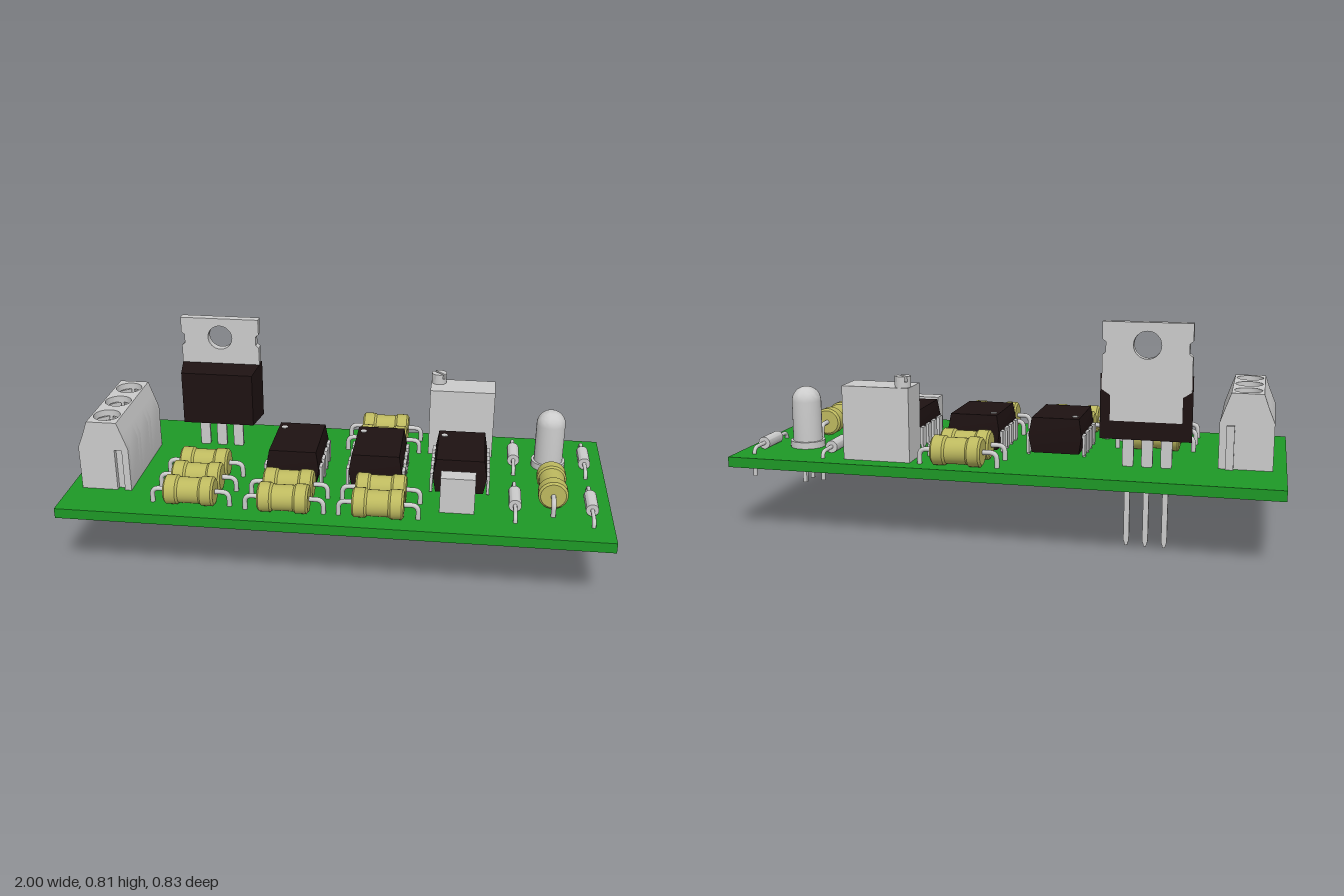
import * as THREE from 'three';
import { toCreasedNormals } from 'three/addons/utils/BufferGeometryUtils.js';

const TOP = 0.293; // upper face of the board
const mat = (color) => new THREE.MeshStandardMaterial({ color });
const GREY = mat(0xcccccc), GREEN = mat(0x1e9926), BLACK = mat(0x1e1212), TAN = mat(0xbdb95f);

function add(parent, name, geo, material, x = 0, y = 0, z = 0) {
  const m = new THREE.Mesh(geo, material);
  m.name = name;
  m.position.set(x, y, z);
  parent.add(m);
  return m;
}
function group(parent, name, x = 0, y = 0, z = 0) {
  const g = new THREE.Group();
  g.name = name;
  g.position.set(x, y, z);
  parent.add(g);
  return g;
}
// box given by its limits
function block(parent, name, material, x0, x1, y0, y1, z0, z1) {
  return add(parent, name, new THREE.BoxGeometry(x1 - x0, y1 - y0, z1 - z0), material,
    (x0 + x1) / 2, (y0 + y1) / 2, (z0 + z1) / 2);
}
const poly = (pts) => new THREE.Shape(pts.map((p) => new THREE.Vector2(...p)));
const extrude = (shape, depth) =>
  toCreasedNormals(new THREE.ExtrudeGeometry(shape, { depth, bevelEnabled: false, curveSegments: 16 }), 0.6);
// move vertices by a rule, then rebuild the normals
function reshape(geo, rule) {
  const p = geo.attributes.position, v = new THREE.Vector3();
  for (let i = 0; i < p.count; i++) {
    rule(v.fromBufferAttribute(p, i));
    p.setXYZ(i, v.x, v.y, v.z);
  }
  return toCreasedNormals(geo, 0.6);
}
const lathe = (pts, n = 28) =>
  toCreasedNormals(new THREE.LatheGeometry(pts.map((p) => new THREE.Vector2(...p)), n), 0.6);

// screw head split into n sectors by straight grooves
function screw(parent, r, h, n, gap, x, y, z) {
  const g = group(parent, 'screw', x, y, z);
  add(g, 'screwCore', new THREE.CylinderGeometry(r, r, h / 2, 28), GREY, 0, h / 4);
  for (let i = 0; i < n; i++) {
    const a = (i * 2 * Math.PI) / n, w = Math.PI / n - Math.asin(gap / r), o = gap / Math.sin(Math.PI / n);
    const s = new THREE.Shape();
    s.moveTo(o * Math.cos(a), o * Math.sin(a));
    s.absarc(0, 0, r, a - w, a + w, false);
    s.closePath();
    add(g, 'screwSector', extrude(s, h / 2).rotateX(-Math.PI / 2), GREY, 0, h / 2);
  }
  g.rotation.y = 0.75;
}

// component lying on the board with two bent leads
function axial(root, name, spec, x, z, turned) {
  const g = group(root, name, x, spec.y, z);
  add(g, name + 'Body', lathe(spec.profile).rotateZ(-Math.PI / 2), spec.material);
  const { half, span, wire, y, end } = spec, b = 0.026;
  for (const s of [-1, 1]) {
    const V = (px, py) => new THREE.Vector3(s * px, py, 0);
    const path = new THREE.CurvePath();
    path.add(new THREE.LineCurve3(V(half - 0.01, 0), V(span - b, 0)));
    path.add(new THREE.QuadraticBezierCurve3(V(span - b, 0), V(span, 0), V(span, -b)));
    path.add(new THREE.LineCurve3(V(span, -b), V(span, end - y)));
    add(g, 'lead', new THREE.TubeGeometry(path, 24, wire, 10), GREY);
    add(g, 'leadTip', new THREE.CylinderGeometry(wire, wire, 0.004, 10), GREY, s * span, end - y);
  }
  if (turned) g.rotation.y = Math.PI / 2;
}
const RESISTOR = {
  profile: [[0, -0.092], [0.046, -0.092], [0.054, -0.085], [0.054, -0.046], [0.048, -0.038],
    [0.048, 0.038], [0.054, 0.046], [0.054, 0.085], [0.046, 0.092], [0, 0.092]],
  half: 0.092, span: 0.143, wire: 0.009, y: 0.347, end: 0.24, material: TAN,
};
const DIODE = {
  profile: [[0, -0.057], [0.023, -0.057], [0.023, 0.057], [0, 0.057]],
  half: 0.057, span: 0.138, wire: 0.0075, y: 0.316, end: 0.212, material: GREY,
};

// eight-legged chip
function chip(root, x) {
  const g = group(root, 'chip', x);
  const body = reshape(new THREE.BoxGeometry(0.198, 0.132, 0.272, 1, 2, 1), (v) => {
    if (Math.abs(v.y) > 0.01) { v.x *= 0.89; v.z *= 0.95; }
  });
  add(g, 'chipBody', body, BLACK, 0, 0.371);
  add(g, 'chipMark', new THREE.CylinderGeometry(0.012, 0.012, 0.004, 16), GREY, -0.066, 0.437, -0.085);
  for (const s of [-1, 1]) for (let i = 0; i < 4; i++) {
    const leg = group(g, 'chipLeg', s * 0.105, 0, (i - 1.5) * 0.068);
    add(leg, 'legShoulder', new THREE.BoxGeometry(0.03, 0.01, 0.04), GREY, -s * 0.01, 0.37);
    add(leg, 'legBlade', new THREE.BoxGeometry(0.01, 0.075, 0.04), GREY, 0, 0.3375);
    add(leg, 'legPin', new THREE.BoxGeometry(0.01, 0.1, 0.014), GREY, 0, 0.25);
    add(leg, 'legTip', new THREE.ConeGeometry(0.008, 0.012, 4).rotateX(Math.PI), GREY, 0, 0.195);
  }
}

// three-way screw terminal, sliced along z into walls and wire openings
function terminal(root) {
  const g = group(root, 'screwTerminal');
  const slice = (name, z0, z1, open, grooved) => {
    const pts = [[-0.952, TOP], ...(open ? [[-0.952, 0.312], [-0.88, 0.312], [-0.88, 0.42], [-0.952, 0.42]] : []),
      [-0.952, 0.462], [-0.93, 0.515], [-0.782, 0.515], [-0.763, 0.46], [-0.763, TOP],
      ...(grooved ? [[-0.788, TOP], [-0.788, 0.455], [-0.816, 0.455], [-0.816, TOP]] : [])];
    add(g, name, extrude(poly(pts.reverse()), z1 - z0), GREY, 0, 0, z0);
  };
  const zs = [-0.1, 0.035, 0.17];
  slice('terminalWall', -0.17, -0.15, false, false);
  slice('terminalWall', -0.05, -0.015, false, false);
  slice('terminalWall', 0.085, 0.12, false, false);
  slice('terminalWall', 0.22, 0.24, false, true);
  zs.forEach((z) => slice('wireOpening', z - 0.05, z + 0.05, true, false));
  // tapered cap with round screw wells
  const cap = poly([[-0.912, -0.24], [-0.8, -0.24], [-0.8, 0.17], [-0.912, 0.17]]);
  zs.forEach((z) => cap.holes.push(new THREE.Path().absarc(-0.856, -z, 0.049, 0, 2 * Math.PI, true)));
  const geo = reshape(extrude(cap, 0.05).rotateX(-Math.PI / 2), (v) => {
    if (v.y < 0.01 && v.x < -0.911) v.x = -0.93;
    if (v.y < 0.01 && v.x > -0.801) v.x = -0.782;
  });
  add(g, 'terminalCap', geo, GREY, 0, 0.515);
  zs.forEach((z) => {
    screw(g, 0.042, 0.03, 4, 0.006, -0.856, 0.514, z);
    add(g, 'terminalPin', new THREE.CylinderGeometry(0.007, 0.004, 0.08, 10), GREY, -0.857, 0.258, z);
  });
  block(g, 'sideRail', GREY, -0.816, -0.788, TOP, 0.45, -0.184, -0.17);
}

// upright power transistor with metal tab
function transistor(root) {
  const g = group(root, 'powerTransistor', -0.517);
  const side = poly([[-0.275, 0.405], [-0.155, 0.405], [-0.155, 0.615], [-0.275, 0.635]]);
  const body = reshape(extrude(side, 0.32).rotateY(-Math.PI / 2).translate(0.16, 0, 0), (v) => {
    if (v.z > -0.2) v.x *= 0.88;
  });
  add(g, 'transistorBody', body, BLACK);
  const half = [[0.125, 0.47], [0.125, 0.56], [0.155, 0.58], [0.155, 0.7], [0.143, 0.71], [0.143, 0.745], [0.155, 0.755], [0.155, 0.815]];
  const tab = poly([...half, ...half.map(([x, y]) => [-x, y]).reverse()]);
  tab.holes.push(new THREE.Path().absarc(0, 0.737, 0.048, 0, 2 * Math.PI, true));
  add(g, 'metalTab', extrude(tab, 0.034), GREY, 0, 0, -0.278);
  for (const x of [-0.068, 0, 0.068]) {
    const lead = poly([[-0.02, 0.41], [-0.02, 0.3], [-0.01, 0.28], [-0.01, 0.02], [-0.004, 0],
      [0.004, 0], [0.01, 0.02], [0.01, 0.28], [0.02, 0.3], [0.02, 0.41]]);
    add(g, 'transistorLead', extrude(lead, 0.012), GREY, x, 0, -0.211);
  }
}

export function createModel() {
  const root = new THREE.Group();
  root.name = 'circuitBoard';
  block(root, 'board', GREEN, -1, 1, 0.255, TOP, -0.413, 0.413);

  terminal(root);
  transistor(root);
  [-0.17, 0.14, 0.452].forEach((x) => chip(root, x));

  const resistors = [[-0.517, 0.07], [-0.517, 0.192], [-0.517, 0.31], [-0.17, 0.208], [-0.17, 0.325],
    [0.17, 0.208], [0.17, 0.325], [0.14, -0.34], [0.14, -0.222]];
  resistors.forEach(([x, z]) => axial(root, 'resistor', RESISTOR, x, z, false));
  axial(root, 'resistor', RESISTOR, 0.79, 0.104, true);
  for (const x of [0.655, 0.928]) for (const z of [-0.207, 0.17]) axial(root, 'diode', DIODE, x, z, true);

  // trimmer with adjusting screw
  const trimmer = group(root, 'trimmer');
  block(trimmer, 'trimmerBody', GREY, 0.32, 0.572, TOP, 0.565, -0.345, -0.218);
  screw(trimmer, 0.029, 0.04, 2, 0.005, 0.35, 0.565, -0.313);
  for (const [x, z] of [[0.38, -0.28], [0.447, -0.28], [0.515, -0.28]])
    add(trimmer, 'trimmerPin', new THREE.CylinderGeometry(0.007, 0.007, 0.08, 10), GREY, x, 0.262, z);

  // box capacitor
  const cap = group(root, 'capacitor');
  block(cap, 'capacitorBody', GREY, 0.385, 0.51, TOP, 0.43, 0.205, 0.267);
  for (const x of [0.413, 0.481])
    add(cap, 'capacitorPin', new THREE.CylinderGeometry(0.007, 0.007, 0.08, 10), GREY, x, 0.253, 0.236);

  // domed lamp
  const lamp = group(root, 'lamp', 0.79, 0, -0.172);
  const profile = [[0, TOP], [0.065, TOP], [0.065, 0.318], [0.055, 0.318]];
  for (let i = 0; i <= 10; i++) {
    const a = (i * Math.PI) / 20;
    profile.push([0.055 * Math.cos(a), 0.47 + 0.055 * Math.sin(a)]);
  }
  add(lamp, 'lampBulb', lathe(profile, 32), GREY);
  for (const z of [-0.035, 0.035]) add(lamp, 'lampLead', new THREE.BoxGeometry(0.015, 0.14, 0.015), GREY, 0, 0.228, z);

  return root;
}
